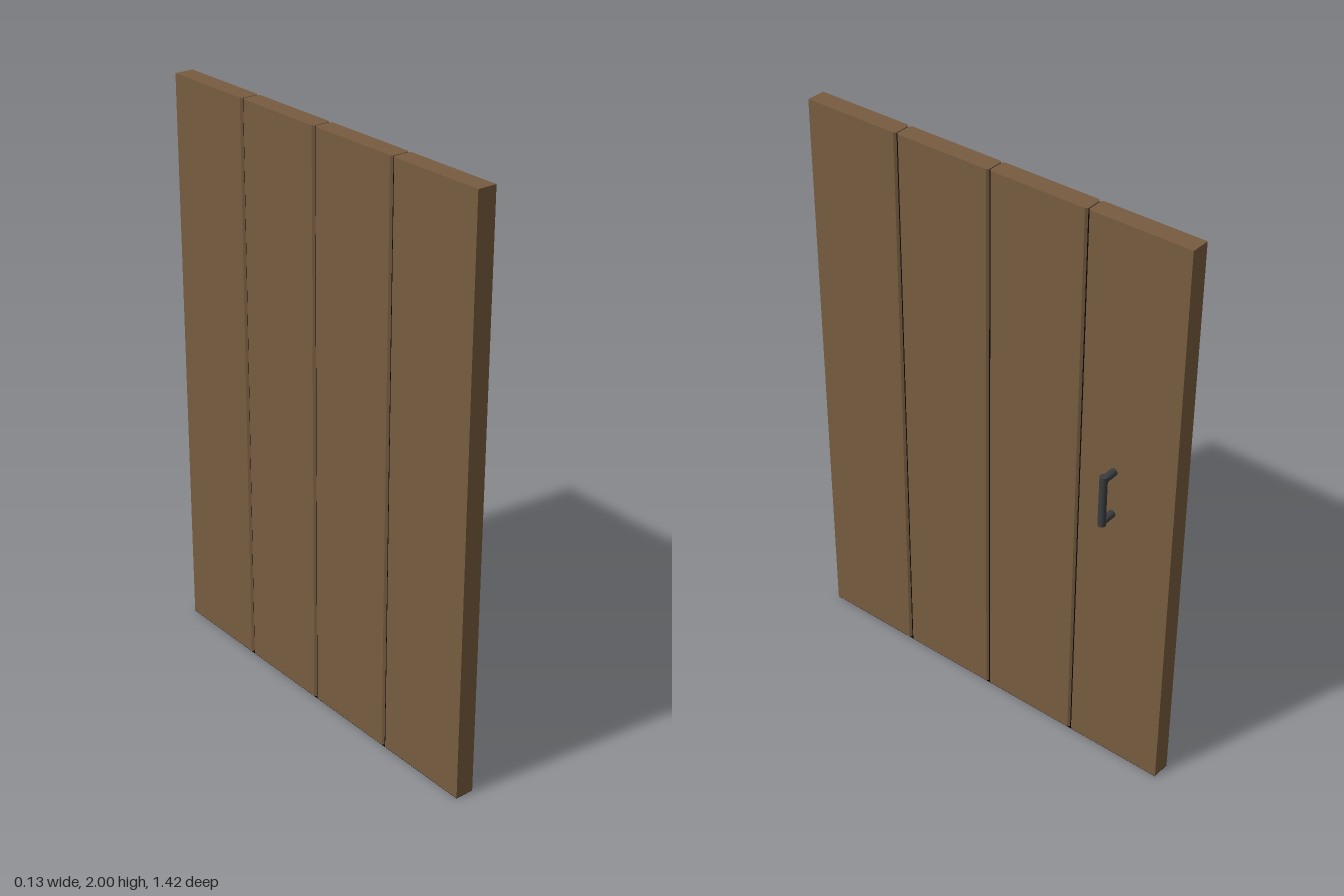
import * as THREE from 'three';

export function createModel() {
  const group = new THREE.Group();
  const mat = (name, color) => {
    const m = new THREE.MeshStandardMaterial({ color });
    m.name = name;
    return m;
  };
  const wood = mat('brown wood', 0x785c40);
  const iron = mat('dark iron', 0x3a3c3f);
  const black = mat('black core', 0x050505);

  const add = (name, geometry, material, x, y, z) => {
    const mesh = new THREE.Mesh(geometry, material);
    mesh.name = name;
    mesh.position.set(x, y, z);
    group.add(mesh);
    return mesh;
  };

  const height = 2, halfDepth = 0.71, thick = 0.066, base = 0.001;
  const count = 4, pitch = (2 * halfDepth) / count, bevel = 0.007, gap = 0.002;

  // planks, chamfered only along the joints
  for (let i = 0; i < count; i++) {
    const z0 = -halfDepth + i * pitch + (i > 0 ? gap : 0);
    const z1 = -halfDepth + (i + 1) * pitch - (i < count - 1 ? gap : 0);
    const b0 = i > 0 ? bevel : 0, b1 = i < count - 1 ? bevel : 0;
    const points = [[-thick, z0 + b0]];
    if (b0) points.push([-thick + b0, z0], [-b0, z0]);
    points.push([0, z0 + b0], [0, z1 - b1]);
    if (b1) points.push([-b1, z1], [-thick + b1, z1]);
    points.push([-thick, z1 - b1]);
    // shape y becomes -z once the extrusion is turned upright
    const shape = new THREE.Shape(points.map(([x, z]) => new THREE.Vector2(x, -z)));
    const geometry = new THREE.ExtrudeGeometry(shape, { depth: height - base, bevelEnabled: false });
    geometry.rotateX(-Math.PI / 2);
    add('plank', geometry, wood, 0, base, 0);
  }

  // dark strips filling the joints
  for (let i = 1; i < count; i++) {
    add('jointCore', new THREE.BoxGeometry(thick - 2 * bevel, height - 0.006, 2 * gap), black,
      -thick / 2, height / 2, -halfDepth + i * pitch);
  }

  // black underside
  add('underside', new THREE.BoxGeometry(thick, base, 2 * halfDepth), black, -thick / 2, base / 2, 0);

  // pull handle: upright grip and two legs
  const r = 0.013, handleZ = -0.487, handleX = 0.052, low = 0.98, high = 1.165;
  add('handleGrip', new THREE.CylinderGeometry(r, r, high - low, 16), iron, handleX, (low + high) / 2, handleZ);
  for (const y of [low + r, high - r]) {
    const leg = add('handleLeg', new THREE.CylinderGeometry(r, r, handleX, 16), iron, handleX / 2, y, handleZ);
    leg.rotation.z = Math.PI / 2;
  }
  return group;
}
